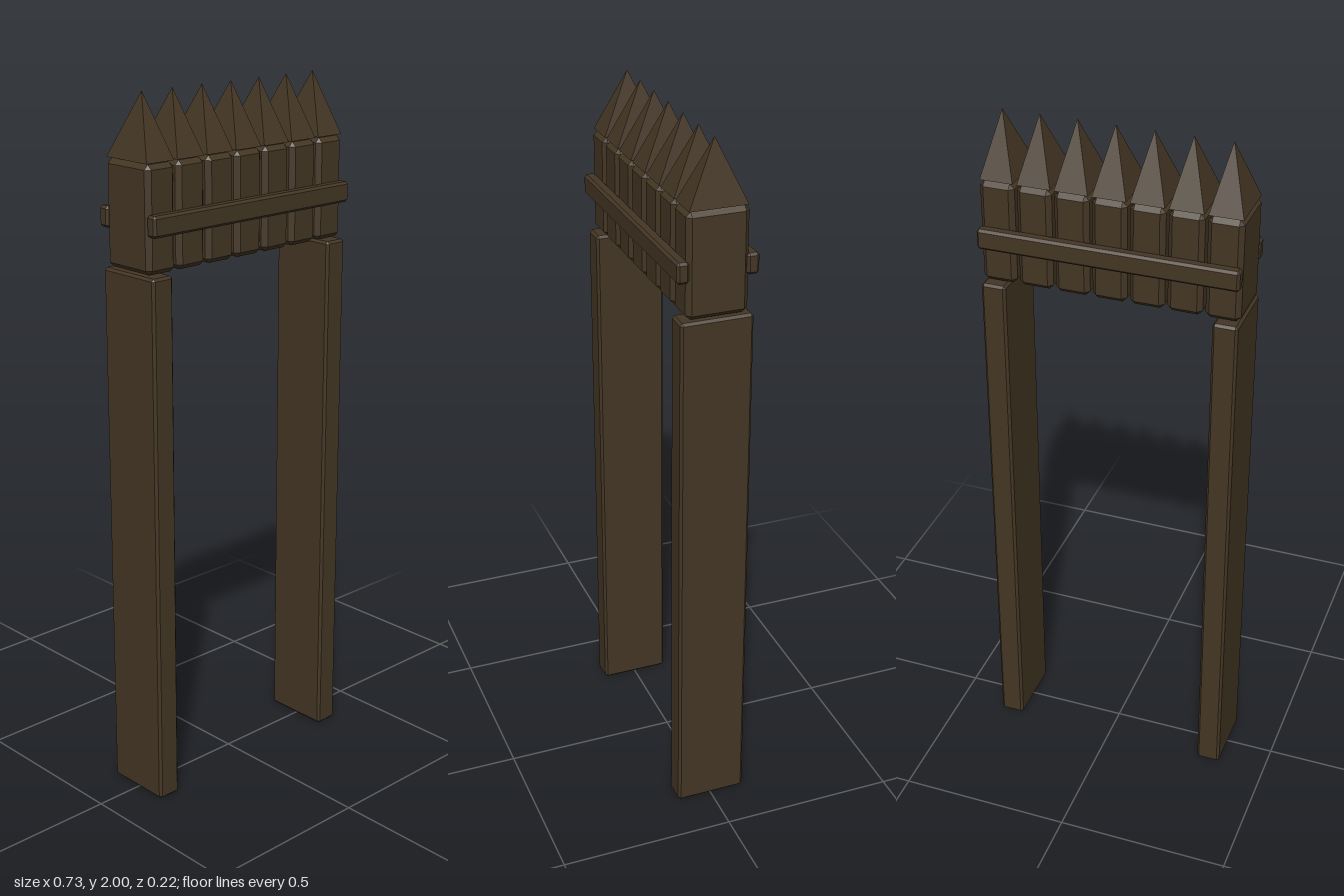
import * as THREE from 'three';
import { ConvexGeometry } from 'three/addons/geometries/ConvexGeometry.js';

// Box with all edges chamfered by c: each corner becomes three points
function chamferBox(w, h, d, c) {
  const pts = [];
  for (const sx of [-1, 1]) for (const sy of [-1, 1]) for (const sz of [-1, 1]) {
    const x = w / 2, y = h / 2, z = d / 2;
    pts.push(
      new THREE.Vector3(sx * x, sy * (y - c), sz * (z - c)),
      new THREE.Vector3(sx * (x - c), sy * y, sz * (z - c)),
      new THREE.Vector3(sx * (x - c), sy * (y - c), sz * z));
  }
  return new ConvexGeometry(pts);
}

// Four-sided spike whose tip leans slightly to +x
function spikeGeometry(w, h, d, lean) {
  const pts = [new THREE.Vector3(lean, h, 0)];
  for (const sx of [-1, 1]) for (const sz of [-1, 1]) {
    pts.push(new THREE.Vector3(sx * w / 2, 0, sz * d / 2));
  }
  return new ConvexGeometry(pts);
}

export function createModel() {
  const model = new THREE.Group();
  model.name = 'palisadeGate';
  const wood = new THREE.MeshStandardMaterial({ color: 0x443624 });
  wood.name = 'dark wood';

  const add = (name, geometry, x, y, z, parent = model) => {
    const mesh = new THREE.Mesh(geometry, wood);
    mesh.name = name;
    mesh.position.set(x, y, z);
    parent.add(mesh);
  };

  // Two tall posts
  const post = chamferBox(0.07, 1.53, 0.202, 0.007);
  add('leftPost', post, 0.326, 0.767, 0);
  add('rightPost', post, -0.326, 0.767, 0);

  // Row of seven pointed pickets across the top
  const body = chamferBox(0.097, 0.288, 0.17, 0.013);
  const spike = spikeGeometry(0.093, 0.172, 0.16, 0.009);
  for (let i = 0; i < 7; i++) {
    const picket = new THREE.Group();
    picket.name = `picket${i + 1}`;
    picket.position.x = (i - 3) * 0.1043;
    add('picketBody', body, 0, 1.681, 0, picket);
    add('picketSpike', spike, 0, 1.828, 0, picket);
    model.add(picket);
  }

  // Rails holding the pickets, front and back
  const rail = chamferBox(0.726, 0.058, 0.034, 0.007);
  add('frontRail', rail, 0, 1.669, 0.095);
  add('backRail', rail, 0, 1.669, -0.095);

  return model;
}
